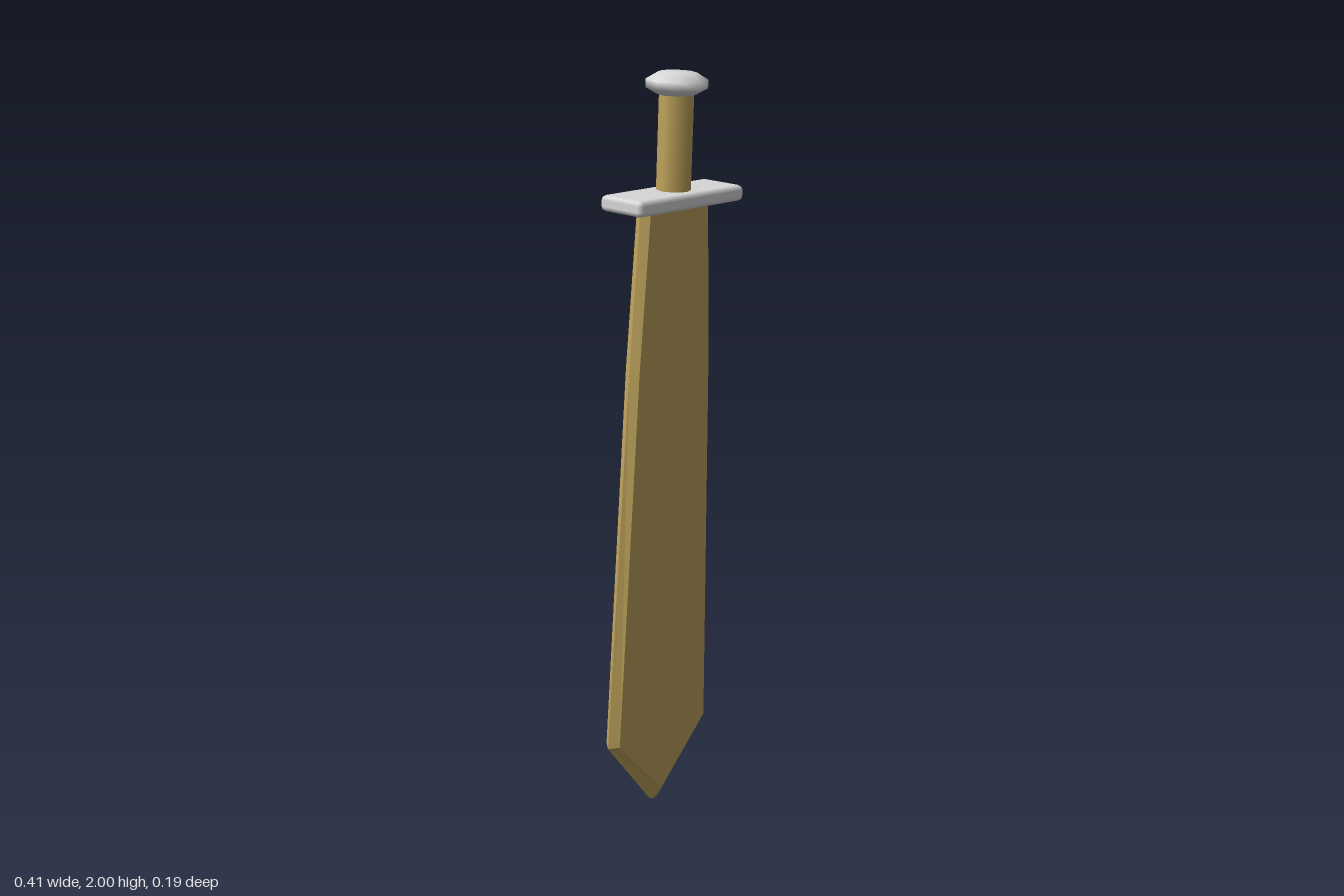
import * as THREE from 'three';
import { RoundedBoxGeometry } from 'three/addons/geometries/RoundedBoxGeometry.js';

// Blade: flat front and back faces joined by bevels to a sharp outer edge
function bladeGeometry() {
  const halfDepth = 0.024;
  // Right half from top to tip: [edge x, edge y, face x, face y]
  const half = [
    [0.125, 1.67, 0.111, 1.67],
    [0.15, 1.24, 0.137, 1.24],
    [0.193, 0.205, 0.173, 0.21],
    [0.02, 0.01, 0.003, 0.045],
  ];
  const mirrored = half.map(([a, b, c, d]) => [-a, b, -c, d]);
  // Counter-clockwise outline seen from the front
  const loop = [...mirrored, [0, 0, 0, 0.042], ...half.slice().reverse()];
  const n = loop.length;
  const tip = 4;
  const pos = [];

  for (const side of [1, -1]) {
    const edge = (i) => [loop[i % n][0], loop[i % n][1], 0];
    const face = (i) => [loop[i % n][2], loop[i % n][3], side * halfDepth];
    const tri = (a, b, c) => pos.push(...a, ...(side > 0 ? b : c), ...(side > 0 ? c : b));
    for (let i = 0; i < n; i++) {
      // Bevel strip
      tri(edge(i), edge(i + 1), face(i + 1));
      tri(edge(i), face(i + 1), face(i));
      // Flat face as a fan from the tip
      if (i > 0 && i < n - 1) tri(face(tip), face(tip + i), face(tip + i + 1));
    }
  }
  const geometry = new THREE.BufferGeometry();
  geometry.setAttribute('position', new THREE.Float32BufferAttribute(pos, 3));
  geometry.computeVertexNormals();
  return geometry;
}

export function createModel() {
  const gold = new THREE.MeshStandardMaterial({ color: 0xbfa45c });
  gold.name = 'oldGold';
  const silver = new THREE.MeshStandardMaterial({ color: 0xd8d8d8 });
  silver.name = 'paleSilver';

  const model = new THREE.Group();
  model.name = 'sword';
  const tilted = new THREE.Group();
  tilted.name = 'tiltedSword';
  model.add(tilted);

  const add = (name, geometry, material, y = 0) => {
    const mesh = new THREE.Mesh(geometry, material);
    mesh.name = name;
    mesh.position.y = y;
    tilted.add(mesh);
  };

  add('blade', bladeGeometry(), gold);

  // Crossguard with softened edges
  add('guard', new RoundedBoxGeometry(0.406, 0.042, 0.14, 1, 0.013), silver, 1.675);

  // Eight-sided grip
  add('grip', new THREE.CylinderGeometry(0.045, 0.045, 0.27, 8), gold, 1.82);

  // Eight-sided pommel
  const profile = [[0, 1.94], [0.05, 1.941], [0.08, 1.957], [0.08, 1.979], [0.05, 1.997], [0, 2]]
    .map(([x, y]) => new THREE.Vector2(x, y));
  add('pommel', new THREE.LatheGeometry(profile, 8), silver);

  // The whole sword leans slightly forward at the top
  tilted.rotation.x = 0.043;
  tilted.position.z = -0.07;
  return model;
}
